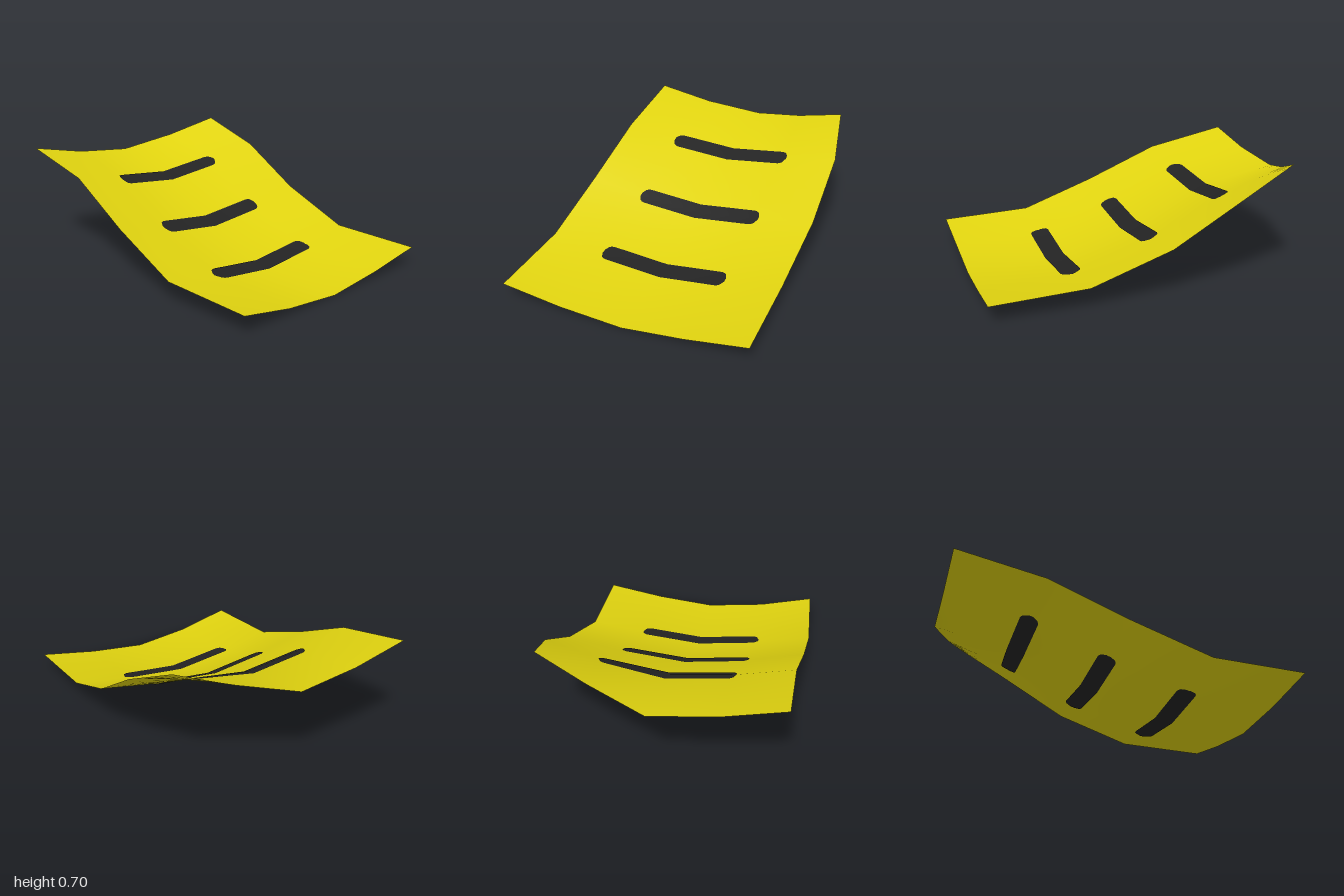
import * as THREE from 'three';

// Cross-sections from back to front, each from right (-x) to left (+x)
const ROWS = [
  [[-0.655, 0.63, -0.99], [-0.3, 0.56, -0.995], [0.08, 0.525, -1.0], [0.41, 0.605, -0.88], [0.715, 0.705, -0.77]],
  [[-0.68, 0.52, -0.48], [-0.32, 0.455, -0.49], [0.05, 0.42, -0.495], [0.42, 0.47, -0.475], [0.775, 0.545, -0.42]],
  [[-0.73, 0.31, -0.02], [-0.365, 0.24, -0.035], [0, 0.2, -0.04], [0.38, 0.24, -0.035], [0.757, 0.305, -0.02]],
  [[-0.77, 0.13, 0.44], [-0.4, 0.07, 0.437], [-0.03, 0.03, 0.435], [0.34, 0.07, 0.437], [0.715, 0.13, 0.44]],
  [[-0.775, 0.11, 1.0], [-0.42, 0.04, 0.985], [-0.035, 0.003, 0.98], [0.34, 0.045, 0.985], [0.71, 0.11, 0.995]],
];

// Coarse net that supplies positions and smooth normals
function makeNet() {
  const net = new THREE.PlaneGeometry(1, 1, 4, 4);
  ROWS.flat().forEach((p, i) => net.attributes.position.setXYZ(i, ...p));
  net.computeVertexNormals();
  return net;
}

// Bilinear lookup on the net: u and v run from 0 to 4
function sample(attribute, u, v) {
  const i = Math.min(3, Math.floor(u + 1e-6)), j = Math.min(3, Math.floor(v + 1e-6));
  const at = (a, b) => new THREE.Vector3().fromBufferAttribute(attribute, b * 5 + a);
  const back = at(i, j).lerp(at(i + 1, j), u - i);
  const front = at(i, j + 1).lerp(at(i + 1, j + 1), u - i);
  return back.lerp(front, v - j);
}

// Surface patch; map(s, t) gives net coordinates, lift moves it along the normal
function patch(net, nu, nv, map, lift = 0) {
  const g = new THREE.PlaneGeometry(1, 1, nu, nv);
  const { position, normal, uv } = g.attributes;
  for (let i = 0; i < position.count; i++) {
    const [u, v] = map(uv.getX(i), 1 - uv.getY(i));
    const n = sample(net.attributes.normal, u, v).normalize();
    const p = sample(net.attributes.position, u, v).addScaledVector(n, lift);
    position.setXYZ(i, p.x, p.y, p.z);
    normal.setXYZ(i, n.x, n.y, n.z);
  }
  return g;
}

export function createModel() {
  const group = new THREE.Group();
  const yellow = new THREE.MeshStandardMaterial({ name: 'yellow', color: 0xe0d30f, side: THREE.DoubleSide });
  const black = new THREE.MeshStandardMaterial({ name: 'black', color: 0x232323, side: THREE.DoubleSide });
  const net = makeNet();
  const add = (name, geometry, material) => {
    const mesh = new THREE.Mesh(geometry, material);
    mesh.name = name;
    group.add(mesh);
  };

  // Bent sheet
  add('sheet', patch(net, 16, 16, (s, t) => [s * 4, t * 4]), yellow);

  // Three round-ended stripes, on both faces of the sheet
  const start = 0.92, end = 3.08, cap = 0.13, halfWidth = 0.112;
  for (const row of [1, 2, 3]) {
    const map = (s, t) => {
      const u = start + (end - start) * s;
      const d = Math.max(0, 1 - Math.min(u - start, end - u) / cap);
      const w = halfWidth * (0.25 + 0.75 * Math.sqrt(Math.max(0, 1 - d * d)));
      return [u, row + (t * 2 - 1) * w];
    };
    add('stripeTop' + row, patch(net, 54, 4, map, 0.004), black);
    add('stripeUnder' + row, patch(net, 54, 4, map, -0.004), black);
  }
  return group;
}
